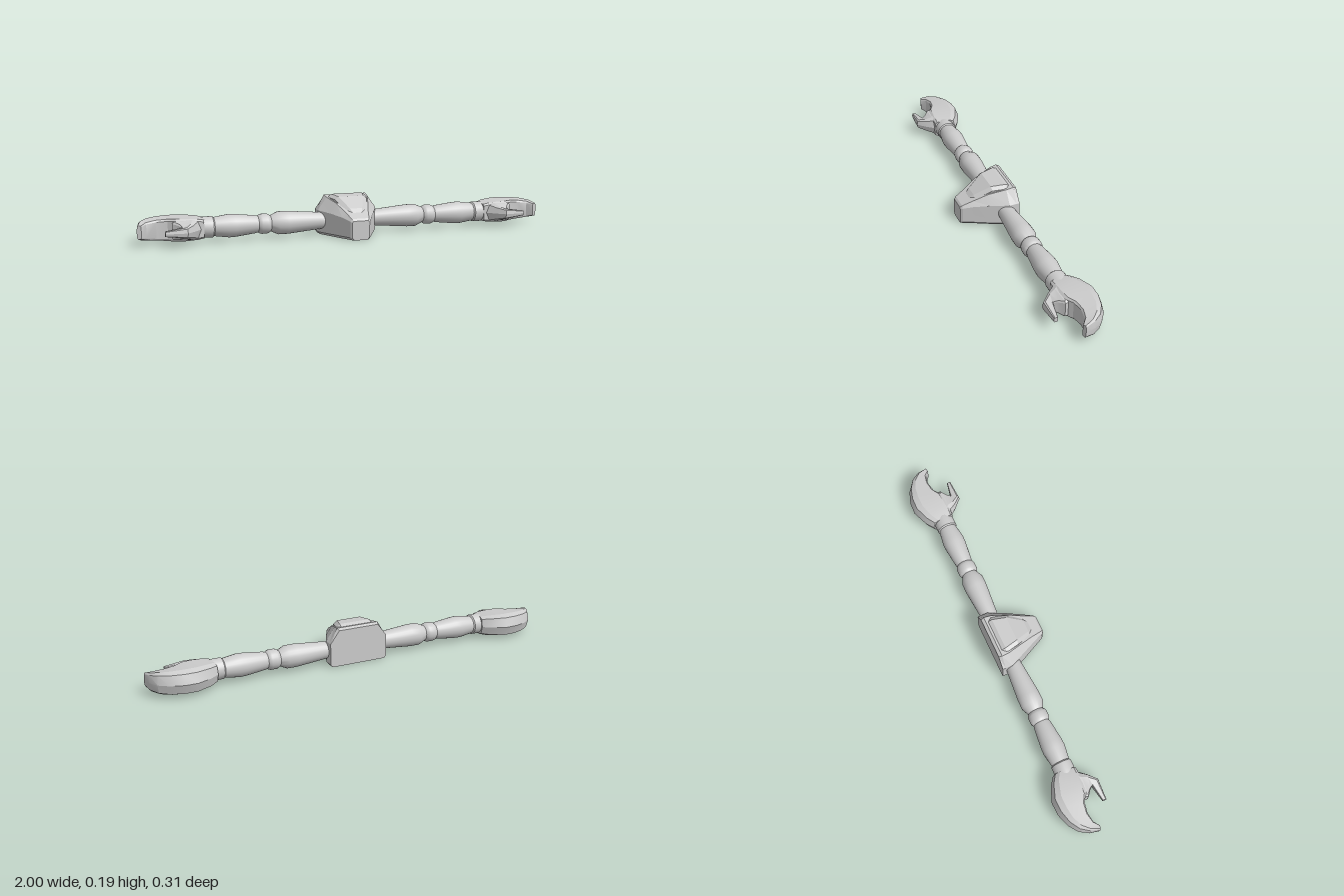
import * as THREE from 'three';
import { toCreasedNormals } from 'three/addons/utils/BufferGeometryUtils.js';

const material = new THREE.MeshStandardMaterial({ color: 0xcccccc });

function part(name, geometry, crease) {
  const mesh = new THREE.Mesh(toCreasedNormals(geometry, crease), material);
  mesh.name = name;
  return mesh;
}

// Skins a list of equal-length rings of [x, y, z] points and caps both ends
function loft(rings) {
  const n = rings[0].length;
  const index = [];
  for (let r = 0; r < rings.length - 1; r++) {
    for (let i = 0; i < n; i++) {
      const a = r * n + i, b = r * n + (i + 1) % n;
      index.push(a, b, b + n, a, b + n, a + n);
    }
  }
  const last = (rings.length - 1) * n;
  for (let i = 1; i < n - 1; i++) {
    index.push(0, i + 1, i, last, last + i, last + i + 1);
  }
  // Turn the faces outwards if the rings ran the other way
  const p = rings.flat().map((q) => new THREE.Vector3(...q));
  let volume = 0;
  for (let i = 0; i < index.length; i += 3) {
    volume += p[index[i]].dot(p[index[i + 1]].clone().cross(p[index[i + 2]]));
  }
  if (volume < 0) index.reverse();
  const geometry = new THREE.BufferGeometry();
  geometry.setAttribute('position', new THREE.Float32BufferAttribute(rings.flat(2), 3));
  geometry.setIndex(index);
  return geometry;
}

// Left-right symmetric ring at depth z from its right half [x, y], bottom to top
function mirroredRing(z, half) {
  return [
    ...half.map(([x, y]) => [x, y, z]),
    ...half.slice().reverse().map(([x, y]) => [-x, y, z]),
  ];
}

// Bevelled claw section between an outer and an inner [x, z] point
function clawRing([ox, oz], [ix, iz], h) {
  const y = 0.066;
  const at = (t, dy) => [ox + (ix - ox) * t, y + dy, oz + (iz - oz) * t];
  return [
    at(0, 0), at(0.1, h * 0.8), at(0.28, h), at(0.92, h * 0.92), at(1, h * 0.75),
    at(1, -h * 0.75), at(0.92, -h * 0.92), at(0.28, -h), at(0.1, -h * 0.8),
  ];
}

// Turned arm piece along x from [x, radius] points
function armPiece(name, profile) {
  const first = profile[0][0], end = profile[profile.length - 1][0];
  const points = [[first, 0], ...profile, [end, 0]].map(([x, r]) => new THREE.Vector2(r, x));
  const geometry = new THREE.LatheGeometry(points, 24);
  geometry.rotateZ(-Math.PI / 2);
  geometry.translate(0, 0.068, -0.04);
  return part(name, geometry, 0.5);
}

function createArm(name) {
  const arm = new THREE.Group();
  arm.name = name;
  arm.add(
    armPiece('upperArm', [[0.12, 0.038], [0.15, 0.041], [0.3, 0.054], [0.345, 0.054], [0.385, 0.036]]),
    armPiece('elbow', [[0.38, 0.036], [0.39, 0.044], [0.4, 0.047], [0.425, 0.047], [0.435, 0.044], [0.445, 0.036]]),
    armPiece('forearm', [[0.44, 0.038], [0.455, 0.042], [0.55, 0.053], [0.58, 0.054], [0.655, 0.043]]),
    armPiece('wristCollar', [[0.648, 0.043], [0.655, 0.049], [0.69, 0.049], [0.715, 0.045]]),
  );

  // Large curved pincer
  arm.add(part('upperPincer', loft([
    clawRing([0.69, -0.098], [0.7, 0.008], 0.046),
    clawRing([0.73, -0.128], [0.73, 0.01], 0.052),
    clawRing([0.80, -0.156], [0.78, 0.008], 0.056),
    clawRing([0.86, -0.154], [0.825, 0.002], 0.056),
    clawRing([0.92, -0.134], [0.86, -0.024], 0.054),
    clawRing([0.965, -0.102], [0.91, -0.034], 0.05),
    clawRing([0.99, -0.06], [0.955, -0.027], 0.043),
    clawRing([1.0, -0.012], [0.98, -0.006], 0.032),
  ]), 0.4));

  // Short opposing pincer
  arm.add(part('lowerPincer', loft([
    clawRing([0.695, -0.01], [0.84, -0.015], 0.048),
    clawRing([0.72, 0.015], [0.845, 0.005], 0.045),
    clawRing([0.745, 0.045], [0.82, 0.025], 0.035),
    clawRing([0.785, 0.083], [0.805, 0.043], 0.024),
    clawRing([0.885, 0.077], [0.885, 0.058], 0.012),
  ]), 0.3));
  return arm;
}

export function createModel() {
  const model = new THREE.Group();
  model.name = 'clawedArms';

  // Wedge body: depth, half width, shoulder height, top half width, top height
  const body = [
    [-0.1, 0.145, 0.115, 0.1, 0.175],
    [-0.085, 0.145, 0.115, 0.105, 0.183],
    [-0.05, 0.145, 0.115, 0.102, 0.177],
    [0.03, 0.108, 0.11, 0.078, 0.156],
    [0.1, 0.073, 0.1, 0.055, 0.122],
    [0.148, 0.05, 0.088, 0.042, 0.1],
    [0.157, 0.042, 0.082, 0.036, 0.09],
  ].map(([z, w, shoulder, wt, top]) => mirroredRing(z, [
    [w - 0.01, 0], [w, 0.012], [w, shoulder], [wt, top],
  ]));
  model.add(part('body', loft(body), 0.1));

  // Raised tapering panel on top: depth, half width, top height
  const panel = [
    [-0.08, 0.095, 0.178],
    [-0.055, 0.095, 0.19],
    [0.01, 0.079, 0.185],
    [0.085, 0.048, 0.138],
    [0.105, 0.038, 0.119],
  ].map(([z, w, top]) => mirroredRing(z, [
    [w, top - 0.05], [w, top - 0.014], [w - 0.018, top],
  ]));
  model.add(part('topPanel', loft(panel), 0.1));

  // Mirrored arms
  const left = createArm('leftArm');
  const right = createArm('rightArm');
  right.scale.x = -1;
  model.add(left, right);
  return model;
}
